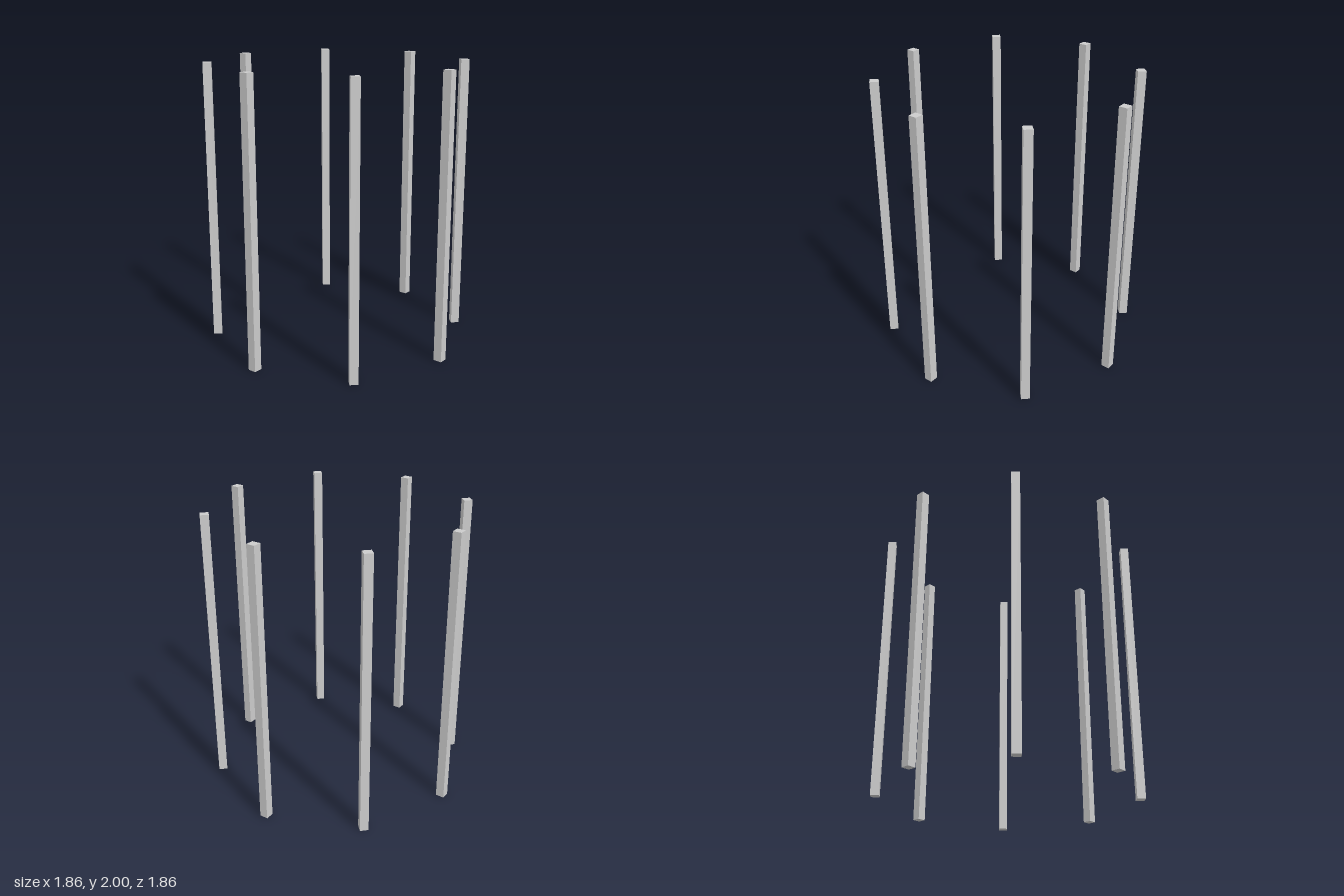
import * as THREE from 'three';

const POST_COUNT = 8;
const RING_RADIUS = 0.9;
const POST_WIDTH = 0.06;
const POST_HEIGHT = 2;

export function createModel() {
  const model = new THREE.Group();
  model.name = 'postRing';

  const material = new THREE.MeshStandardMaterial({ color: 0xcccccc, flatShading: true });
  const postGeometry = new THREE.BoxGeometry(POST_WIDTH, POST_HEIGHT, POST_WIDTH);

  // Square posts evenly spaced on a circle, each turned to face the centre
  for (let i = 0; i < POST_COUNT; i++) {
    const angle = (i / POST_COUNT) * Math.PI * 2;
    const post = new THREE.Mesh(postGeometry, material);
    post.name = `post${i + 1}`;
    post.position.set(Math.sin(angle) * RING_RADIUS, POST_HEIGHT / 2, Math.cos(angle) * RING_RADIUS);
    post.rotation.y = angle;
    model.add(post);
  }

  return model;
}
